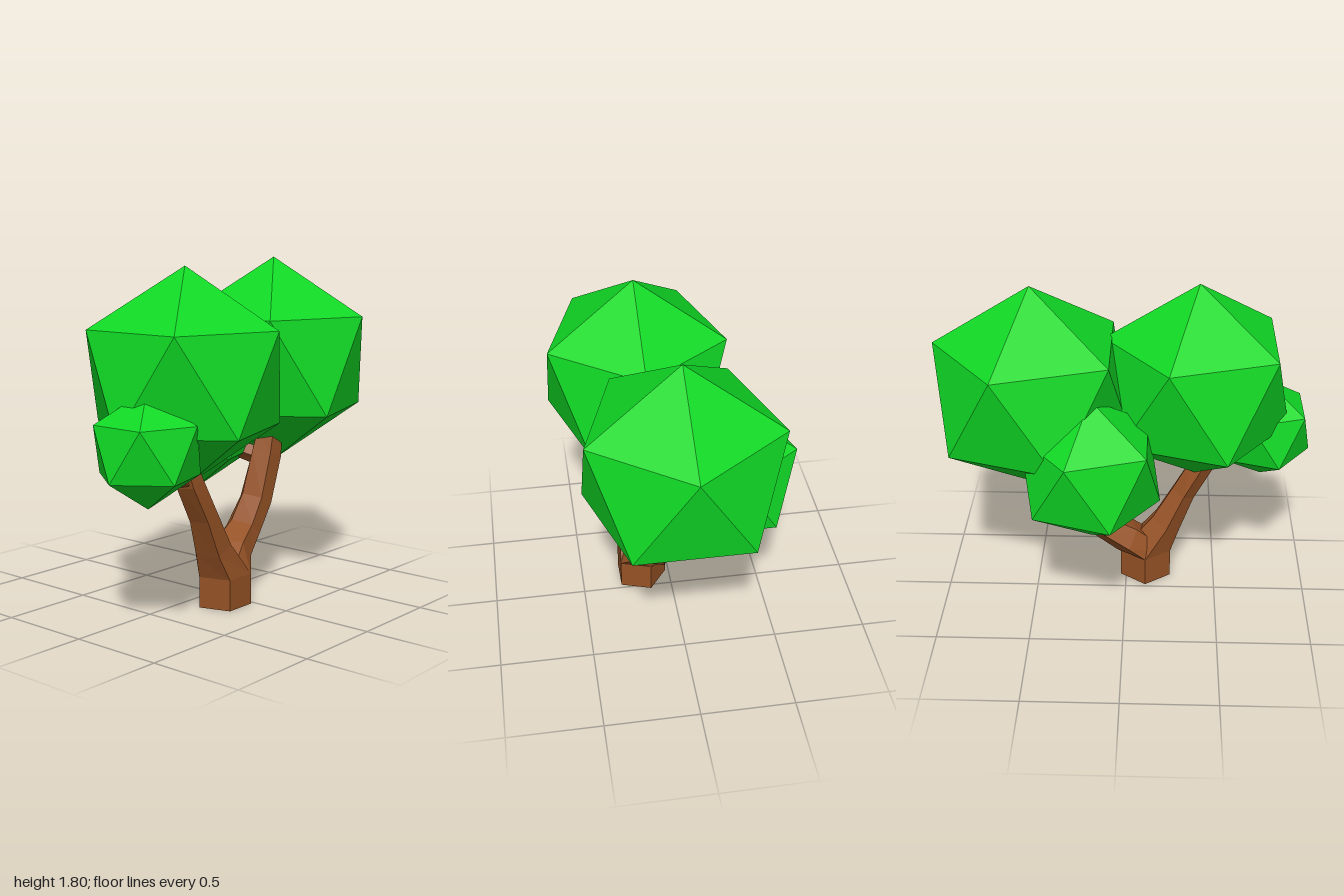
import * as THREE from 'three';

// Five-sided tube through sections [x, y, z, half width, half depth]
function limb(sections, { up = false, closed = false } = {}) {
  const pos = [], index = [], n = 5;
  const centres = sections.map(([x, y, z]) => new THREE.Vector3(x, y, z));
  centres.forEach((c, i) => {
    const next = centres[Math.min(i + 1, centres.length - 1)];
    const t = next.clone().sub(centres[Math.max(i - 1, 0)]).normalize();
    if (i === 0 && up) t.set(0, 1, 0);
    const v = new THREE.Vector3().crossVectors(t, new THREE.Vector3(0, 0, 1)).normalize();
    const u = new THREE.Vector3().crossVectors(v, t);
    for (let j = 0; j < n; j++) {
      const a = (j / n) * Math.PI * 2;
      const p = c.clone()
        .addScaledVector(v, sections[i][3] * Math.sin(a))
        .addScaledVector(u, -sections[i][4] * Math.cos(a));
      pos.push(p.x, p.y, p.z);
    }
  });
  for (let i = 0; i < sections.length - 1; i++) {
    for (let j = 0; j < n; j++) {
      const a = i * n + j, b = i * n + (j + 1) % n;
      index.push(a, a + n, b + n, a, b + n, b);
    }
  }
  if (closed) for (let j = 1; j < n - 1; j++) index.push(0, j, j + 1);
  const g = new THREE.BufferGeometry();
  g.setAttribute('position', new THREE.Float32BufferAttribute(pos, 3));
  g.setIndex(index);
  const flat = g.toNonIndexed();
  flat.computeVertexNormals();
  return flat;
}

export function createModel() {
  const tree = new THREE.Group();
  tree.name = 'tree';
  const bark = new THREE.MeshStandardMaterial({ color: 0x955225, flatShading: true });
  bark.name = 'bark brown';
  const leaf = new THREE.MeshStandardMaterial({ color: 0x10d825, flatShading: true });
  leaf.name = 'leaf green';

  const add = (name, geometry, material) => {
    const mesh = new THREE.Mesh(geometry, material);
    mesh.name = name;
    tree.add(mesh);
    return mesh;
  };

  // Trunk and the two branches that fork from its top
  const fork = [-0.11, 0.165, 0.165, 0.147, 0.147];
  add('trunk', limb([[-0.11, 0, 0.165, 0.147, 0.147], fork], { up: true, closed: true }), bark);
  add('rightBranch', limb([
    fork,
    [-0.22, 0.33, 0.175, 0.09, 0.115],
    [-0.315, 0.52, 0.195, 0.07, 0.09],
    [-0.42, 0.71, 0.2, 0.07, 0.08],
    [-0.46, 0.82, 0.2, 0.06, 0.07],
  ], { up: true }), bark);
  add('leftBranch', limb([
    fork,
    [0.0, 0.265, 0.12, 0.09, 0.13],
    [0.13, 0.355, 0.1, 0.075, 0.11],
    [0.235, 0.5, 0.1, 0.08, 0.1],
    [0.325, 0.74, 0.1, 0.085, 0.09],
    [0.35, 0.85, 0.1, 0.07, 0.08],
  ], { up: true }), bark);

  // Short twigs reaching the smaller crowns
  add('rightTwig', limb([
    [-0.4, 0.69, 0.2, 0.05, 0.05],
    [-0.5, 0.76, 0.21, 0.045, 0.045],
    [-0.62, 0.84, 0.22, 0.04, 0.04],
  ]), bark);
  add('backTwig', limb([
    [0.32, 0.72, 0.08, 0.055, 0.055],
    [0.27, 0.76, -0.05, 0.05, 0.05],
    [0.2, 0.81, -0.17, 0.045, 0.045],
  ]), bark);

  // Crowns: icosahedra standing on a point, one upper corner towards +x
  const ico = new THREE.IcosahedronGeometry(1, 0);
  ico.rotateX(-Math.atan((1 + Math.sqrt(5)) / 2));
  ico.rotateY(Math.PI / 2);
  const crowns = [
    ['largeLeftCrown', 0.487, 1.235, 0.022, 0.57],
    ['largeRightCrown', -0.376, 1.228, 0.14, 0.553],
    ['backCrown', 0.17, 0.92, -0.27, 0.4],
    ['smallRightCrown', -0.741, 0.922, 0.224, 0.29],
  ];
  for (const [name, x, y, z, r] of crowns) {
    const crown = add(name, ico, leaf);
    crown.position.set(x, y, z);
    crown.scale.setScalar(r);
  }
  return tree;
}
